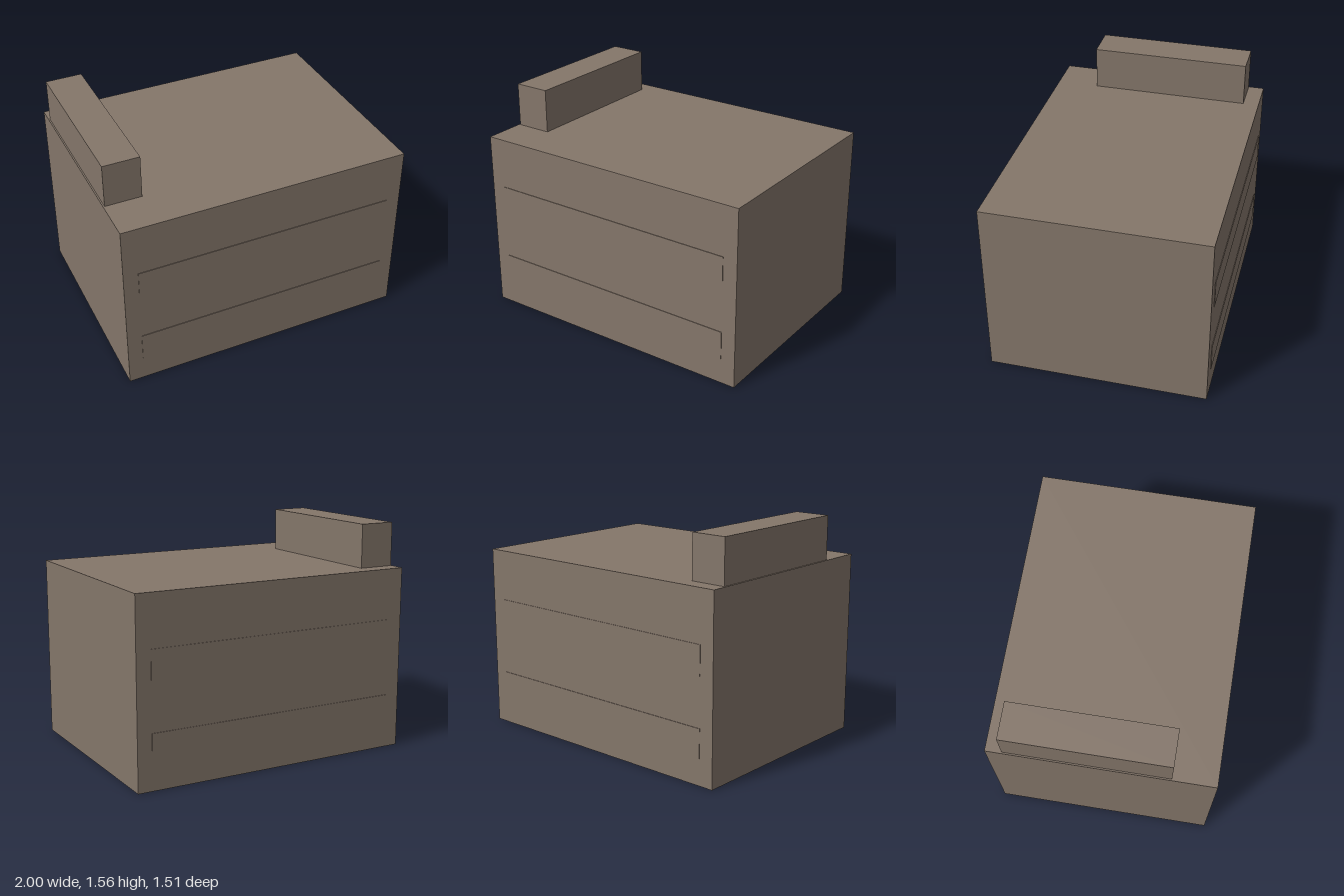
import * as THREE from 'three';

export function createModel() {
  const model = new THREE.Group();
  const stone = new THREE.MeshStandardMaterial({ color: 0x84766a });
  stone.name = 'taupe stone';

  // Box from its minimum and maximum corners
  const addBox = (name, [x0, y0, z0], [x1, y1, z1]) => {
    const mesh = new THREE.Mesh(new THREE.BoxGeometry(x1 - x0, y1 - y0, z1 - z0), stone);
    mesh.position.set((x0 + x1) / 2, (y0 + y1) / 2, (z0 + z1) / 2);
    mesh.name = name;
    model.add(mesh);
  };

  // Main block and the off-centre parapet along its right edge
  addBox('mainBlock', [-1, 0, -0.75], [1, 1.26, 0.75]);
  addBox('roofBlock', [-0.99, 1.26, -0.64], [-0.74, 1.56, 0.457]);

  // Two thin raised bands on the front and on the back
  for (const y of [0.18, 0.713]) {
    addBox('frontBand', [-0.9, y, 0.749], [0.9, y + 0.197, 0.754]);
    addBox('backBand', [-0.9, y, -0.754], [0.9, y + 0.197, -0.749]);
  }
  return model;
}
